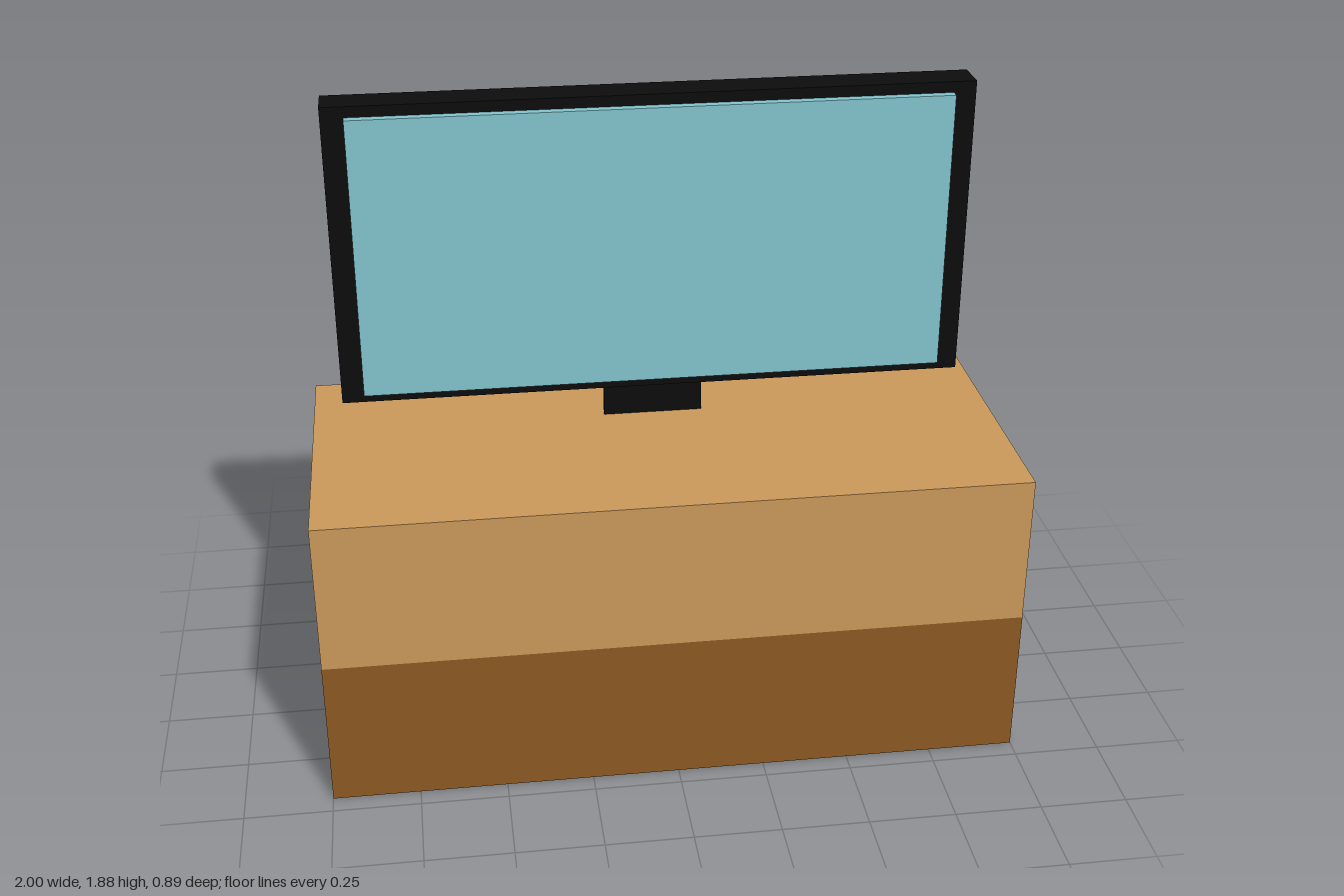
import * as THREE from 'three';

export function createModel() {
  const model = new THREE.Group();
  const paint = (name, color) => {
    const material = new THREE.MeshStandardMaterial({ color });
    material.name = name;
    return material;
  };
  const lightWood = paint('light wood', 0xc99759);
  const darkWood = paint('dark wood', 0x8b5821);
  const black = paint('black plastic', 0x0c0c0c);
  const glass = paint('pale blue glass', 0x82c2cb);

  // Adds a box spanning the given minimum and maximum corners
  const box = (name, material, [x0, y0, z0], [x1, y1, z1]) => {
    const mesh = new THREE.Mesh(new THREE.BoxGeometry(x1 - x0, y1 - y0, z1 - z0), material);
    mesh.position.set((x0 + x1) / 2, (y0 + y1) / 2, (z0 + z1) / 2);
    mesh.name = name;
    model.add(mesh);
  };

  // Cabinet with a dark lower front
  box('cabinet', lightWood, [-1, 0, -0.442], [1, 0.888, 0.442]);
  const front = new THREE.Mesh(new THREE.PlaneGeometry(2, 0.444), darkWood);
  front.position.set(0, 0.222, 0.4435);
  front.name = 'lowerFront';
  model.add(front);

  // Television: thin stand, casing and raised screen
  box('stand', black, [-0.145, 0.888, -0.148], [0.145, 1.01, -0.132]);
  box('casing', black, [-0.907, 0.998, -0.195], [0.907, 1.882, -0.088]);
  box('screen', glass, [-0.843, 1.029, -0.1], [0.843, 1.851, -0.062]);

  return model;
}
